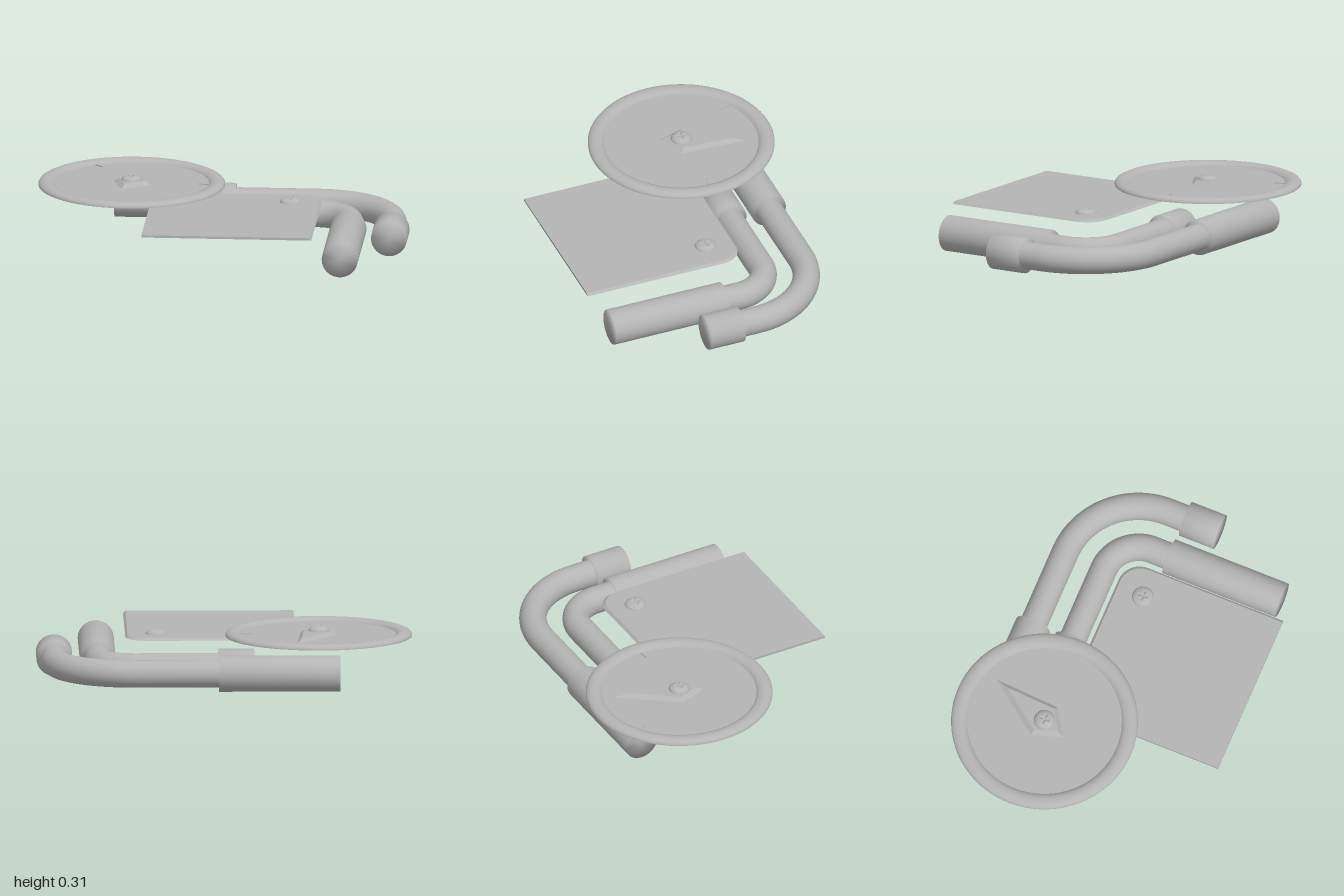
import * as THREE from 'three';
import { mergeVertices } from 'three/addons/utils/BufferGeometryUtils.js';

const gray = new THREE.MeshStandardMaterial({ color: 0xb4b4b4 });
gray.name = 'plain gray';
gray.side = THREE.DoubleSide;

const PIPE_Y = 0.098, PIPE_R = 0.073, SLEEVE_R = 0.096;

function add(parent, name, geometry, x = 0, y = 0, z = 0) {
  const mesh = new THREE.Mesh(geometry, gray);
  mesh.name = name;
  mesh.position.set(x, y, z);
  parent.add(mesh);
  return mesh;
}

// Capped rod between two floor points at pipe height
function rod(parent, name, r, x0, z0, x1, z1, soft = false) {
  const length = Math.hypot(x1 - x0, z1 - z0);
  let g = new THREE.CylinderGeometry(r, r, length, 40);
  if (soft) { // share normals across the end edges
    g.deleteAttribute('normal');
    g.deleteAttribute('uv');
    g = mergeVertices(g);
    g.computeVertexNormals();
  }
  if (x0 !== x1) g.rotateZ(-Math.PI / 2);
  else g.rotateX(Math.PI / 2);
  return add(parent, name, g, (x0 + x1) / 2, PIPE_Y, (z0 + z1) / 2);
}

// Flat slab from an outline in (x, z); its top is shrunk toward a pivot
function slab(outline, height, topScale, px, pz) {
  const g = new THREE.ExtrudeGeometry(outline, { depth: height, bevelEnabled: false, curveSegments: 12 });
  g.rotateX(-Math.PI / 2);
  const p = g.attributes.position;
  for (let i = 0; i < p.count; i++) {
    if (p.getY(i) > height / 2) {
      p.setX(i, px + (p.getX(i) - px) * topScale);
      p.setZ(i, pz + (p.getZ(i) - pz) * topScale);
    }
  }
  g.computeVertexNormals();
  return g;
}

const polygon = pts => new THREE.Shape(pts.map(([x, z]) => new THREE.Vector2(x, -z)));

// Domed screw head with a cross recess: a square grid mapped onto a disc
function screwHead(radius, height) {
  const g = new THREE.PlaneGeometry(2, 2, 28, 28).rotateX(-Math.PI / 2);
  const p = g.attributes.position;
  for (let i = 0; i < p.count; i++) {
    const u = p.getX(i), v = p.getZ(i);
    const x = u * Math.sqrt(1 - v * v / 2), z = v * Math.sqrt(1 - u * u / 2);
    const a = Math.min(Math.abs(u), Math.abs(v)), b = Math.max(Math.abs(u), Math.abs(v));
    const slot = a < 0.1 && b < 0.45 ? 0.3 : 0;
    const dome = Math.sqrt(Math.max(0, 1 - x * x - z * z));
    p.setXYZ(i, x * radius, (dome - slot) * height, z * radius);
  }
  g.computeVertexNormals();
  return g;
}

// Bent pipe with a sleeve on each end
function pipe(name, x, z, bend, sleeveStart, sleeveEnd) {
  const group = new THREE.Group();
  group.name = name;
  const cx = x - bend, cz = z + bend;
  rod(group, 'straightAcross', PIPE_R, 0, z, cx, z);
  add(group, 'elbow', new THREE.TorusGeometry(bend, PIPE_R, 32, 40, Math.PI / 2).rotateX(-Math.PI / 2), cx, PIPE_Y, cz);
  rod(group, 'straightForward', PIPE_R, x, cz, x, 0.03);
  rod(group, 'sideSleeve', SLEEVE_R, sleeveStart, z, 0.035, z, true);
  rod(group, 'frontSleeve', SLEEVE_R, x, 0, x, sleeveEnd, true);
  return group;
}

function gauge() {
  const group = new THREE.Group();
  group.name = 'gauge';
  group.position.set(-0.5, 0, -0.23);

  // Rounded rim
  const rim = [[0.497, 0.256], [0.497, 0.264], [0.49, 0.274], [0.475, 0.281], [0.455, 0.284],
    [0.435, 0.281], [0.418, 0.273], [0.41, 0.26]].map(([r, y]) => new THREE.Vector2(r, y));
  add(group, 'rim', new THREE.LatheGeometry(rim, 72));
  add(group, 'dial', new THREE.CircleGeometry(0.412, 72).rotateX(-Math.PI / 2), 0, 0.263, 0);

  // Pointed marks just inside the rim
  for (const angle of [0, 2.1]) {
    const mark = polygon([[0.355, 0], [0.412, -0.012], [0.412, 0.012]]);
    add(group, 'mark', slab(mark, 0.016, 1, 0, 0), 0, 0.252, 0).rotation.y = angle;
  }

  // Kite-shaped needle
  const kite = polygon([[0.12, -0.325], [0.1, 0.035], [-0.045, 0.125], [-0.1, -0.035]]);
  add(group, 'needle', slab(kite, 0.02, 0.76, 0.01, -0.02), 0, 0.263, 0);
  add(group, 'needleScrew', screwHead(0.057, 0.029), 0, 0.281, 0);
  return group;
}

function plate() {
  const group = new THREE.Group();
  group.name = 'plate';
  // One rounded corner at the back left
  const s = new THREE.Shape();
  s.moveTo(-0.38, -0.72);
  s.lineTo(0.527, -0.72);
  s.lineTo(0.527, 0.06);
  s.absarc(0.407, 0.06, 0.12, 0, Math.PI / 2, false);
  s.lineTo(-0.38, 0.18);
  s.closePath();
  add(group, 'panel', slab(s, 0.013, 0.986, -0.38, 0.72), 0, 0.22, 0);
  add(group, 'plateScrew', screwHead(0.058, 0.026), 0.363, 0.232, -0.022);
  return group;
}

export function createModel() {
  const model = new THREE.Group();
  model.name = 'pipeAndGauge';
  model.add(
    pipe('outerPipe', 0.903, -0.519, 0.42, -0.61, 0.197),
    pipe('innerPipe', 0.673, -0.293, 0.2, -0.155, 0.65),
    plate(),
    gauge(),
  );
  return model;
}
